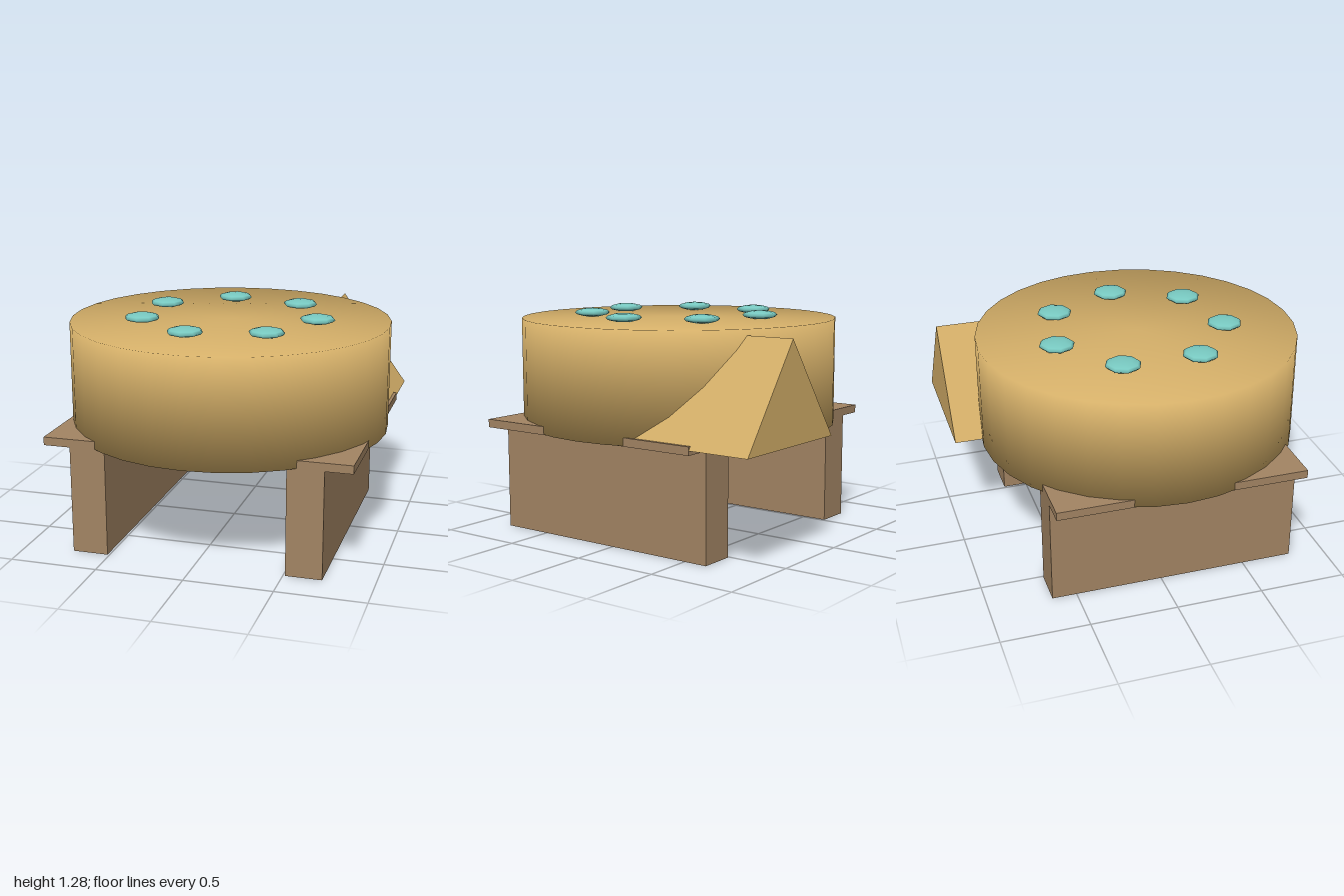
import * as THREE from 'three';

export function createModel() {
  const model = new THREE.Group();
  const wood = new THREE.MeshStandardMaterial({ color: 0xa28463 });
  wood.name = 'wood';
  const crust = new THREE.MeshStandardMaterial({ color: 0xd3ae68 });
  crust.name = 'golden crust';
  const teal = new THREE.MeshStandardMaterial({ color: 0x78c9c1 });
  teal.name = 'teal topping';

  const add = (name, geometry, material, x = 0, y = 0, z = 0) => {
    const mesh = new THREE.Mesh(geometry, material);
    mesh.name = name;
    mesh.position.set(x, y, z);
    model.add(mesh);
    return mesh;
  };

  // Stand: a thin board on two slab legs
  const standZ = 0.077, depth = 1.434;
  add('board', new THREE.BoxGeometry(1.74, 0.047, depth), wood, 0, 0.6385, standZ);
  for (const side of [-1, 1]) {
    add(side > 0 ? 'leftLeg' : 'rightLeg', new THREE.BoxGeometry(0.204, 0.63, depth), wood, side * 0.614, 0.315, standZ);
  }

  // Round body, shaded smoothly over the rim
  const cakeZ = 0.075, bottom = 0.618, top = 1.234, radius = 0.92;
  const profile = [[0, bottom], [radius, bottom], [radius, top], [0, top]].map(([x, y]) => new THREE.Vector2(x, y));
  add('roundCake', new THREE.LatheGeometry(profile, 32), crust, 0, 0, cakeZ);

  // Triangular slice sticking out of the back
  const triangle = new THREE.Shape();
  triangle.moveTo(0.05, 0.64);
  triangle.lineTo(0.868, 0.64);
  triangle.lineTo(0.458, 1.2);
  triangle.closePath();
  const slice = new THREE.ExtrudeGeometry(triangle, { depth: 1, bevelEnabled: false });
  add('slice', slice, crust, 0, 0, -1);

  // Ring of seven flattened toppings
  const button = new THREE.SphereGeometry(0.102, 8, 6);
  button.scale(1, 0.25, 1);
  for (let i = 0; i < 7; i++) {
    const a = (i / 7) * Math.PI * 2;
    add('topping' + (i + 1), button, teal, Math.cos(a) * 0.51, 1.259, cakeZ + Math.sin(a) * 0.51);
  }
  return model;
}
